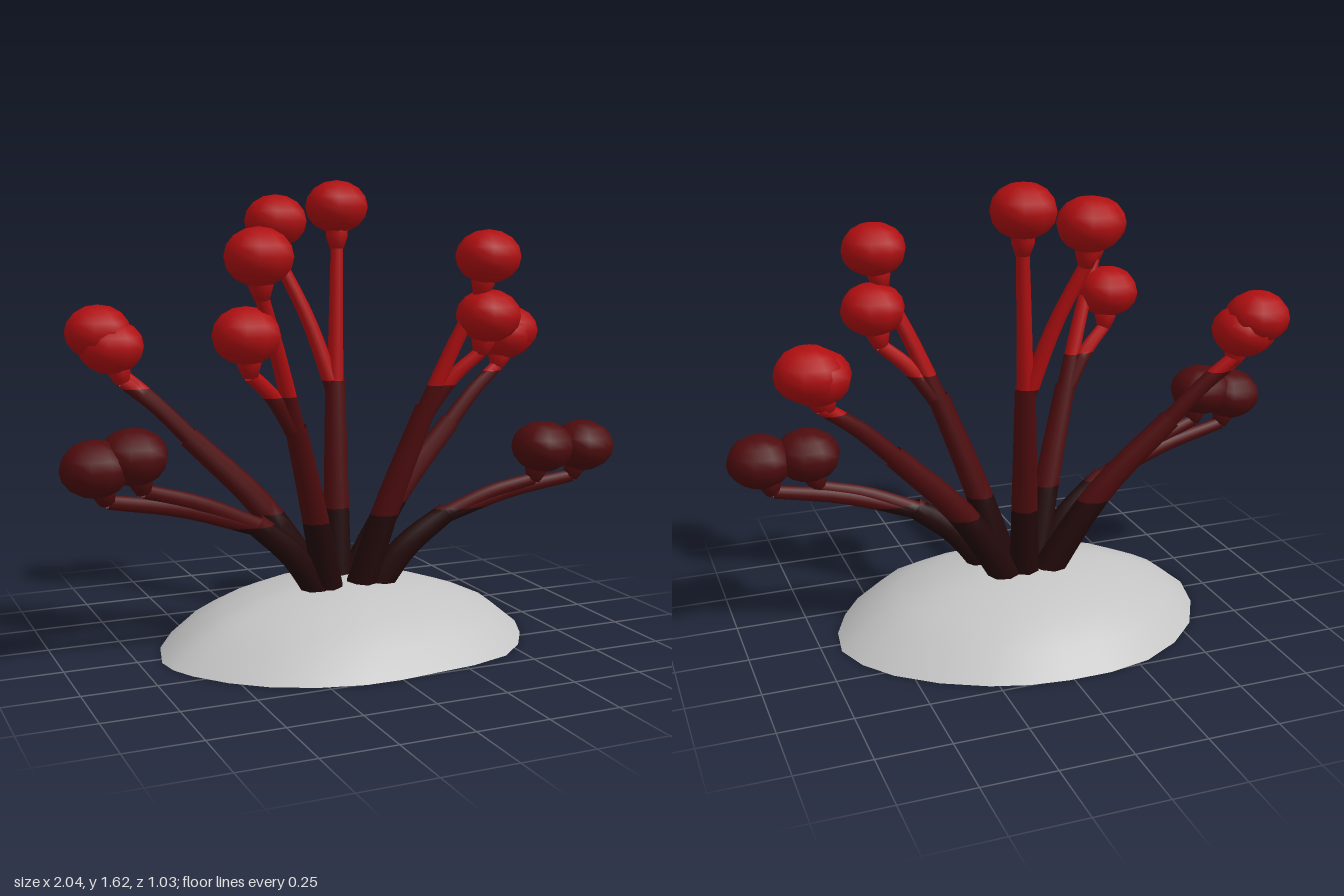
import * as THREE from 'three';

const mat = (name, color, side = THREE.FrontSide) => {
  const m = new THREE.MeshStandardMaterial({ color, side });
  m.name = name;
  return m;
};
const V = (p) => new THREE.Vector3(...p);

// Tapered tube along a smooth path
function taperedTube(points, r0, r1) {
  const curve = new THREE.CatmullRomCurve3(points);
  const n = 8, sides = 8;
  const geo = new THREE.TubeGeometry(curve, n, 1, sides, false);
  const pos = geo.attributes.position, v = new THREE.Vector3();
  for (let i = 0; i <= n; i++) {
    const c = curve.getPointAt(i / n), r = r0 + (r1 - r0) * (i / n);
    for (let j = 0; j <= sides; j++) {
      const k = i * (sides + 1) + j;
      v.fromBufferAttribute(pos, k).sub(c).multiplyScalar(r).add(c);
      pos.setXYZ(k, v.x, v.y, v.z);
    }
  }
  return geo;
}

// Keep the side of a polygon above (sign 1) or below (sign -1) a level
function clip(poly, level, sign) {
  const out = [];
  poly.forEach((a, i) => {
    const b = poly[(i + 1) % poly.length];
    const da = (a[1] - level) * sign, db = (b[1] - level) * sign;
    if (da >= 0) out.push(a);
    if (da * db < 0) out.push(a.map((x, k) => x + (b[k] - x) * da / (da - db)));
  });
  return out;
}

// The slice of a geometry between two heights
function band(geo, lo, hi) {
  const g = geo.toNonIndexed(), p = g.attributes.position, q = g.attributes.normal;
  const pos = [], nor = [];
  for (let i = 0; i < p.count; i += 3) {
    let poly = [i, i + 1, i + 2].map((k) => [
      p.getX(k), p.getY(k), p.getZ(k), q.getX(k), q.getY(k), q.getZ(k)]);
    poly = clip(clip(poly, lo, 1), hi, -1);
    for (let j = 1; j + 1 < poly.length; j++)
      for (const c of [poly[0], poly[j], poly[j + 1]]) {
        pos.push(...c.slice(0, 3));
        nor.push(...c.slice(3));
      }
  }
  if (!pos.length) return null;
  const out = new THREE.BufferGeometry();
  out.setAttribute('position', new THREE.Float32BufferAttribute(pos, 3));
  out.setAttribute('normal', new THREE.Float32BufferAttribute(nor, 3));
  return out;
}

// Irregular flat-bottomed mound: one outline, shrunk ring by ring
function moundGeometry() {
  const outline = new THREE.CatmullRomCurve3([[-0.675, 0.04], [-0.55, -0.28], [-0.29, -0.48],
    [0.02, -0.515], [0.28, -0.46], [0.56, -0.28], [0.685, -0.05], [0.61, 0.22], [0.43, 0.43],
    [0.12, 0.495], [-0.13, 0.51], [-0.42, 0.41], [-0.62, 0.21]].map(([x, z]) => V([x, 0, z])), true);
  const n = 26, rim = outline.getPoints(n).slice(0, n);
  const rings = [[1, 0], [0.85, 0.083], [0.67, 0.14], [0.46, 0.188], [0.2, 0.215], [0.001, 0.22]];
  const pos = [], idx = [];
  for (const [s, y] of rings) for (const p of rim) pos.push(p.x * s, y, p.z * s);
  for (let r = 0; r + 1 < rings.length; r++)
    for (let i = 0; i < n; i++) {
      const a = r * n + i, b = r * n + (i + 1) % n;
      idx.push(a, a + n, b, b, a + n, b + n);
    }
  const dome = new THREE.BufferGeometry();
  dome.setAttribute('position', new THREE.Float32BufferAttribute(pos, 3));
  dome.setIndex(idx);
  dome.computeVertexNormals();
  const floor = new THREE.ShapeGeometry(new THREE.Shape(rim.map((p) => new THREE.Vector2(p.x, p.z))));
  floor.rotateX(Math.PI / 2);
  return [dome, floor];
}

// Each stalk: foot x, fork of the trunk, centres of its two heads
const STALKS = [
  { foot: -0.09, fork: [-0.36, 0.465, 0.095], heads: [[-0.915, 0.705, 0.16], [-0.79, 0.735, 0.16]] },
  { foot: -0.06, fork: [-0.52, 0.74, -0.13], heads: [[-0.81, 1.105, -0.2], [-0.77, 1.055, -0.18]] },
  { foot: -0.07, fork: [-0.25, 0.8, 0.2], heads: [[-0.43, 1.37, 0.35], [-0.45, 1.12, 0.285]] },
  { foot: 0.01, fork: [0.03, 0.91, -0.125], heads: [[-0.165, 1.475, -0.205], [0.05, 1.525, -0.16]] },
  { foot: 0.04, fork: [0.26, 0.83, 0.14], heads: [[0.455, 1.355, 0.22], [0.47, 1.15, 0.2]] },
  { foot: 0.06, fork: [0.5, 0.73, -0.13], heads: [[0.78, 1.06, -0.195], [0.755, 1.045, -0.185]] },
  { foot: 0.09, fork: [0.37, 0.44, 0.095], heads: [[0.73, 0.665, 0.155], [0.895, 0.66, 0.16]] },
];

export function createModel() {
  const group = new THREE.Group();
  const grey = mat('stone grey', 0xc4c4c4);
  const low = mat('darkest maroon', 0x220809, THREE.DoubleSide);
  const mid = mat('dark red', 0x4e0c0e, THREE.DoubleSide);
  const high = mat('bright red', 0xb00f11, THREE.DoubleSide);
  const bands = [[0, 0.455, low, 'Lower'], [0.455, 0.91, mid, 'Middle'], [0.91, 3, high, 'Upper']];
  const add = (parent, name, geo, material) => {
    const m = new THREE.Mesh(geo, material);
    m.name = name;
    parent.add(m);
    return m;
  };

  // Mound
  const [dome, floor] = moundGeometry();
  add(group, 'moundTop', dome, grey);
  add(group, 'moundUnderside', floor, grey);

  // Shared head and collar shapes
  const headGeo = new THREE.SphereGeometry(1, 10, 8).scale(0.115, 0.093, 0.112);
  const collarGeo = new THREE.LatheGeometry(
    [[0.001, -0.012], [0.026, -0.005], [0.042, 0.04], [0.038, 0.09]].map((p) => new THREE.Vector2(...p)), 8);
  const up = new THREE.Vector3(0, 1, 0);

  STALKS.forEach((data, s) => {
    const stalk = new THREE.Group();
    stalk.name = 'stalk' + (s + 1);
    group.add(stalk);

    // Stems change colour with height
    const addStem = (name, geo) => bands.forEach(([lo, hi, material, label]) => {
      const g = band(geo, lo, hi);
      if (g) add(stalk, name + label, g, material);
    });

    // Trunk, arching more the further it leans
    const fork = V(data.fork);
    const foot = V([data.foot, 0.17, 0.06 * Math.sign(fork.z)]);
    const middle = foot.clone().lerp(fork, 0.45);
    middle.y += 0.12 * Math.abs(fork.x - foot.x);
    addStem('trunk', taperedTube([foot, middle, fork], 0.057, 0.038));

    // Branches, collars and heads
    const root = fork.clone().lerp(middle, 0.12);
    data.heads.map(V).forEach((head) => {
      const tip = V([head.x * 0.955, head.y - 0.145 + 0.035 * Math.abs(head.x), head.z * 0.93]);
      const bend = fork.clone().lerp(tip, 0.5);
      bend.y += 0.012;
      addStem('branch', taperedTube([root, bend, tip], 0.032, 0.024));
      const material = head.y < 0.91 ? mid : high;
      const collar = add(stalk, 'collar', collarGeo, material);
      collar.position.copy(tip);
      collar.quaternion.setFromUnitVectors(up, head.clone().sub(tip).normalize());
      add(stalk, 'head', headGeo, material).position.copy(head);
    });
  });
  return group;
}
